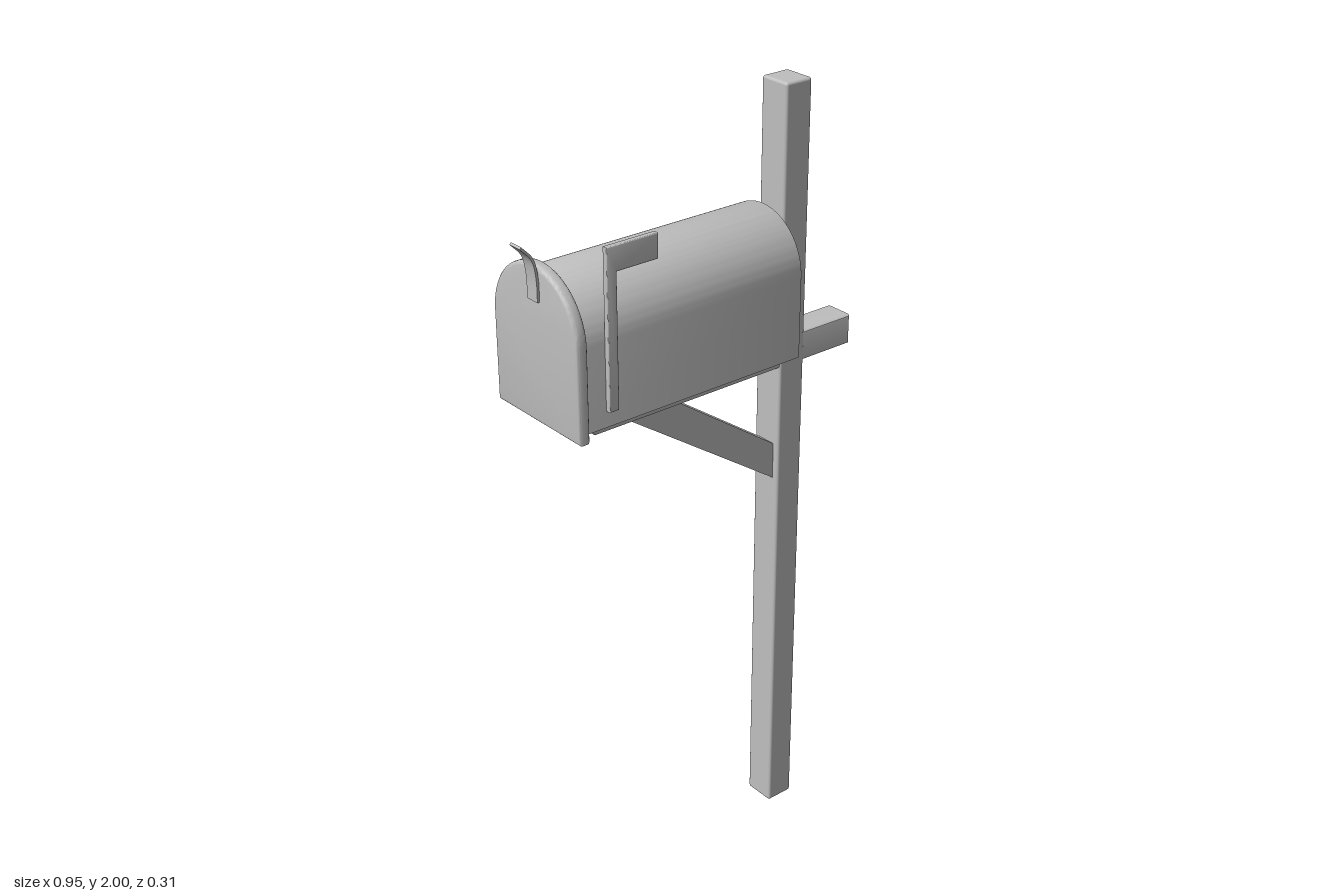
import * as THREE from 'three';
import { toCreasedNormals } from 'three/addons/utils/BufferGeometryUtils.js';
import { RoundedBoxGeometry } from 'three/addons/geometries/RoundedBoxGeometry.js';

const grey = new THREE.MeshStandardMaterial({ color: 0xbfbfbf });
grey.name = 'plain grey';

function part(group, name, geometry) {
  const mesh = new THREE.Mesh(geometry, grey);
  mesh.name = name;
  group.add(mesh);
  return mesh;
}

// Solid with a bevel kept inside the outline, its depth running from 0 to depth
function extrude(shape, depth, bevel) {
  const g = new THREE.ExtrudeGeometry(shape, {
    depth: depth - 2 * bevel, curveSegments: 32, bevelEnabled: bevel > 0,
    bevelThickness: bevel, bevelSize: bevel, bevelOffset: -bevel, bevelSegments: 3,
  });
  g.translate(0, 0, bevel);
  return toCreasedNormals(g, 0.6);
}

function polygon(points) {
  return new THREE.Shape(points.map(([x, y]) => new THREE.Vector2(x, y)));
}

// Arched outline extruded along x from x0 to x1
function archedBlock(halfWidth, bottom, top, x0, x1, bevel) {
  const spring = top - halfWidth;
  const s = new THREE.Shape();
  s.moveTo(-halfWidth, bottom);
  s.lineTo(halfWidth, bottom);
  s.lineTo(halfWidth, spring);
  s.absarc(0, spring, halfWidth, 0, Math.PI, false);
  s.closePath();
  return extrude(s, x1 - x0, bevel).rotateY(Math.PI / 2).translate(x0, 0, 0);
}

export function createModel() {
  const model = new THREE.Group();
  model.name = 'mailbox';

  // Timber support
  part(model, 'post', new RoundedBoxGeometry(0.077, 2, 0.084, 2, 0.007)).position.set(0.282, 1, 0);
  const beam = polygon([[-0.365, 1.376], [-0.345, 1.338], [-0.305, 1.3], [0.474, 1.3], [0.474, 1.376]]);
  part(model, 'crossBeam', extrude(beam, 0.078, 0.006)).position.z = -0.039;
  const brace = polygon([[-0.205, 1.302], [0.246, 0.995], [0.246, 1.09], [-0.06, 1.302]]);
  part(model, 'brace', extrude(brace, 0.05, 0)).position.z = -0.025;

  // Arched box and its overlapping door
  part(model, 'boxBody', archedBlock(0.139, 1.375, 1.716, -0.41, 0.216, 0.003));
  part(model, 'door', archedBlock(0.153, 1.36, 1.735, -0.433, -0.403, 0.008));

  // Curved door handle, a thin strip bent outward at the top
  const curve = new THREE.CatmullRomCurve3([
    [-0.436, 1.655], [-0.437, 1.71], [-0.447, 1.755], [-0.476, 1.788],
  ].map(([x, y]) => new THREE.Vector3(x, y, 0)));
  const outer = [], inner = [];
  for (let i = 0; i <= 12; i++) {
    const p = curve.getPoint(i / 12), t = curve.getTangent(i / 12);
    outer.push([p.x - t.y * 0.003, p.y + t.x * 0.003]);
    inner.unshift([p.x + t.y * 0.003, p.y - t.x * 0.003]);
  }
  part(model, 'doorHandle', extrude(polygon([...outer, ...inner]), 0.037, 0)).position.z = -0.012;

  // Signal flag on the front side
  const flag = polygon([
    [-0.349, 1.415], [-0.323, 1.415], [-0.323, 1.737], [-0.212, 1.737], [-0.212, 1.796], [-0.349, 1.796],
  ]);
  part(model, 'signalFlag', extrude(flag, 0.014, 0.002)).position.z = 0.138;

  return model;
}
